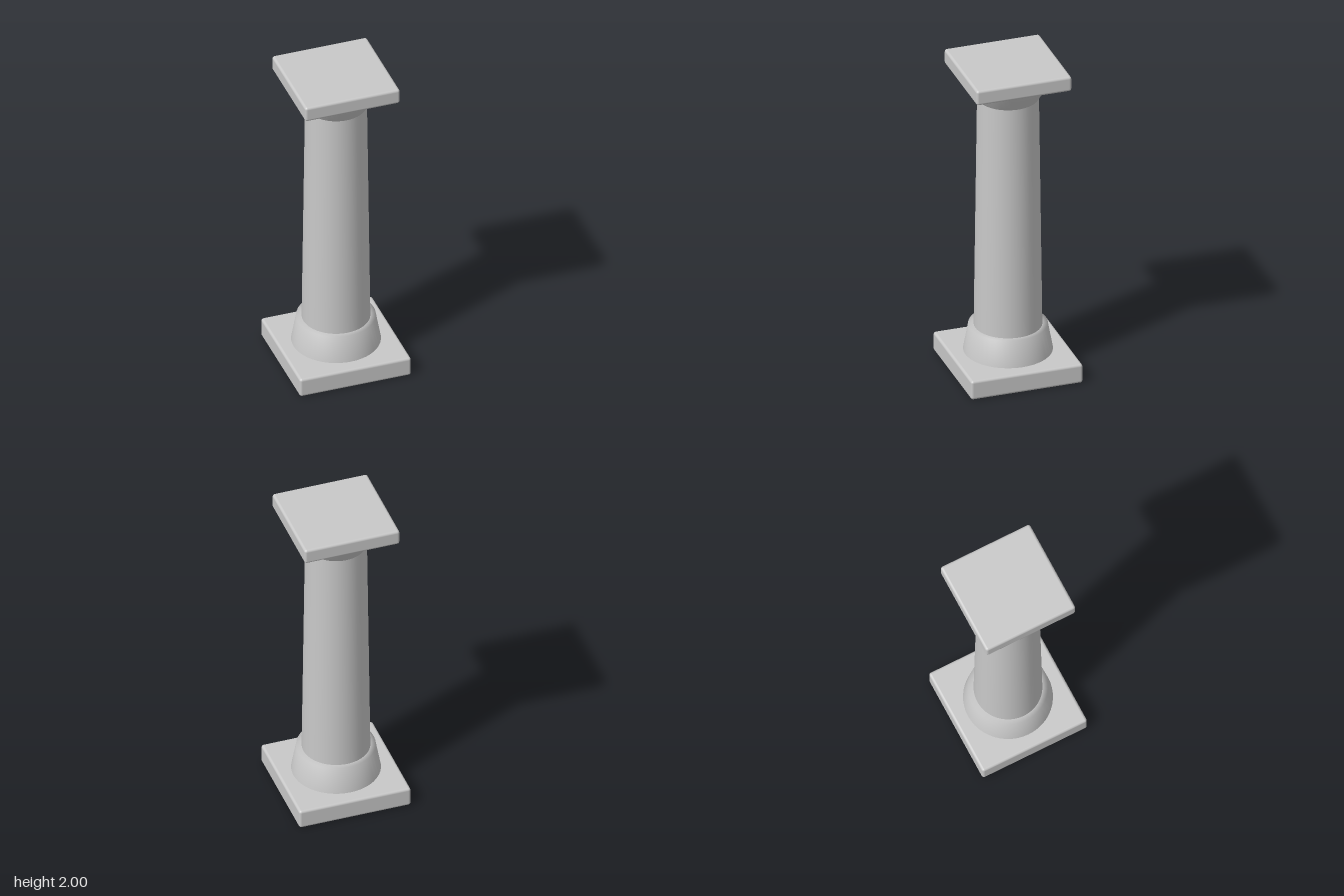
import * as THREE from 'three';
import { RoundedBoxGeometry } from 'three/addons/geometries/RoundedBoxGeometry.js';

export function createModel() {
  const column = new THREE.Group();
  column.name = 'column';
  const stone = new THREE.MeshStandardMaterial({ color: 0xc8c8c8 });
  stone.name = 'grey stone';

  function add(name, geometry, y = 0) {
    const mesh = new THREE.Mesh(geometry, stone);
    mesh.name = name;
    mesh.position.y = y;
    column.add(mesh);
  }

  // Square slab with softened edges, from y0 to y1
  const slab = (name, width, y0, y1) =>
    add(name, new RoundedBoxGeometry(width, y1 - y0, width, 3, 0.016), (y0 + y1) / 2);

  // Round part turned from [radius, y] points, bottom to top
  const turned = (name, points) =>
    add(name, new THREE.LatheGeometry(points.map(([r, y]) => new THREE.Vector2(r, y)), 48));

  slab('plinth', 0.692, 0, 0.122);
  // Tapered foot with a flat ledge around the shaft
  turned('base', [[0.265, 0.115], [0.234, 0.287], [0.19, 0.287]]);
  turned('shaft', [[0.202, 0.27], [0.182, 1.79]]);
  // Flared head under the top slab
  turned('capital', [[0.17, 1.78], [0.184, 1.78], [0.257, 1.908]]);
  slab('abacus', 0.59, 1.904, 2);

  return column;
}
